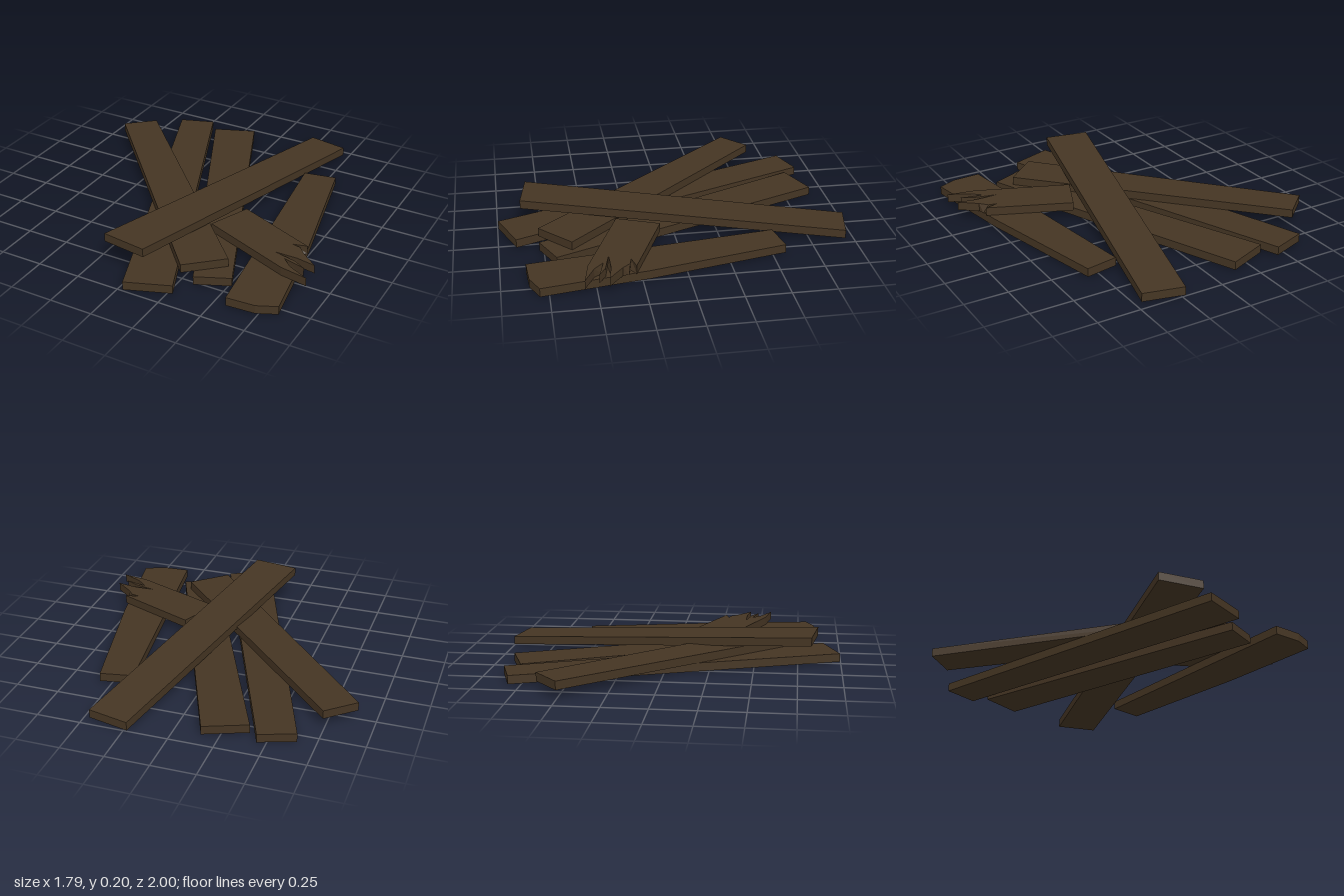
import * as THREE from 'three';

const THICK = 0.049;

// Prism from an [x, z] outline; lift(x, z) gives the height of its underside.
function plank(name, outline, lift, material, frayed = []) {
  const shape = new THREE.Shape(outline.map(([x, z]) => new THREE.Vector2(x, -z)));
  const geo = new THREE.ExtrudeGeometry(shape, { depth: THICK, bevelEnabled: false });
  geo.rotateX(-Math.PI / 2);
  const p = geo.attributes.position;
  for (let i = 0; i < p.count; i++) {
    const x = p.getX(i), y = p.getY(i), z = p.getZ(i);
    // frayed corners lean back at the top so the break is ragged
    const torn = y > THICK / 2 && frayed.some((k) => Math.hypot(outline[k][0] - x, outline[k][1] - z) < 1e-4);
    p.setXYZ(i, torn ? x - 0.03 : x, y + lift(x, z), torn ? z - 0.01 : z);
  }
  geo.computeVertexNormals();
  const mesh = new THREE.Mesh(geo, material);
  mesh.name = name;
  return mesh;
}

export function createModel() {
  const group = new THREE.Group();
  group.name = 'plankPile';
  const wood = new THREE.MeshStandardMaterial({ color: 0x453523 });
  wood.name = 'dark wood';

  const ground = (x, z) => 0.003 + 0.002 * z;
  const second = () => 0.055;
  const leaning = (x, z) => 0.083 + 0.077 * z;

  group.add(
    // boards lying on the ground
    plank('lowerLeftPlank', [[-0.65, -0.82], [-0.45, -0.89], [0.28, 0.9], [0.03, 0.995]], () => 0.005, wood),
    plank('lowerMiddlePlank', [[-0.39, -0.81], [-0.15, -0.905], [0.52, 0.69], [0.33, 0.775]], ground, wood),
    plank('lowerRightPlank', [[0.38, -0.54], [0.57, -0.575], [0.745, 0.21], [0.845, 0.8], [0.735, 0.85], [0.57, 0.86]],
      () => 0.005, wood),
    // boards resting on them
    plank('crossingPlank', [[-0.9, -0.5], [-0.74, -0.64], [0.45, 0.6], [0.255, 0.775]], second, wood),
    plank('splinteredPlank', [
      [0.3, 0.09], [0.77, 0.285], [0.72, 0.315], [0.77, 0.325], [0.78, 0.36], [0.88, 0.44], [0.77, 0.42],
      [0.67, 0.43], [0.77, 0.45], [0.84, 0.49], [0.74, 0.465], [0.77, 0.51], [0.89, 0.57], [0.73, 0.54], [0.2, 0.33],
    ], second, wood, [2, 3, 7, 10]),
    // board leaning across the top
    plank('leaningPlank', [[0.23, -1], [0.465, -0.95], [0.08, 0.865], [-0.185, 0.825]], leaning, wood),
  );
  return group;
}
